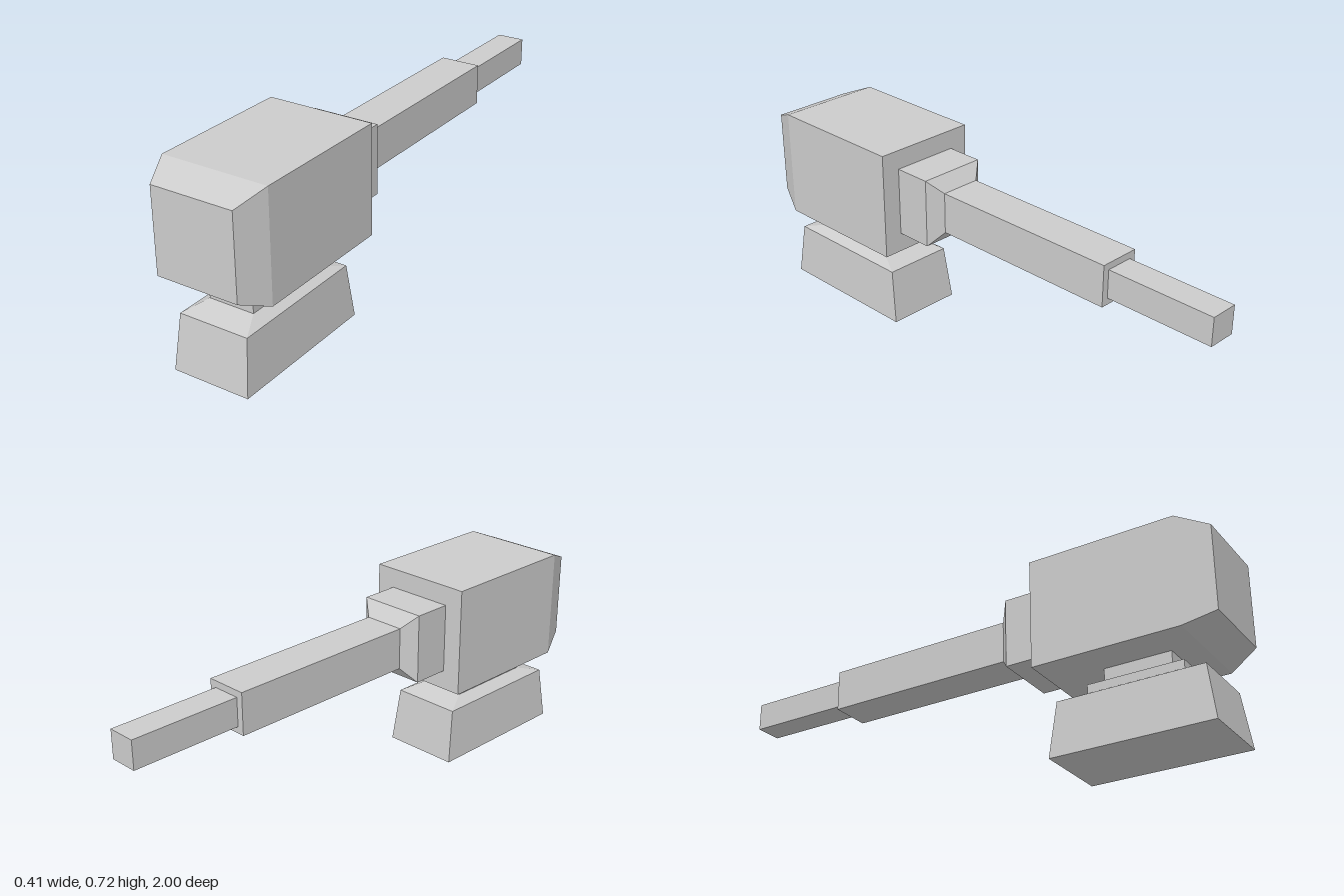
import * as THREE from 'three';

const material = new THREE.MeshStandardMaterial({ color: 0xcccccc, flatShading: true });

// Closed solid through rectangular sections [height, halfX, halfZ], stacked upwards along y
function rectLoft(sections) {
  const positions = [];
  const index = [];
  for (const [y, w, d] of sections) {
    positions.push(w, y, d, w, y, -d, -w, y, -d, -w, y, d);
  }
  for (let i = 0; i < sections.length - 1; i++) {
    for (let k = 0; k < 4; k++) {
      const a = i * 4 + k;
      const b = i * 4 + ((k + 1) % 4);
      index.push(a, b, b + 4, a, b + 4, a + 4);
    }
  }
  const t = (sections.length - 1) * 4;
  index.push(0, 2, 1, 0, 3, 2, t, t + 1, t + 2, t, t + 2, t + 3);
  const indexed = new THREE.BufferGeometry();
  indexed.setAttribute('position', new THREE.Float32BufferAttribute(positions, 3));
  indexed.setIndex(index);
  const geometry = indexed.toNonIndexed();
  geometry.computeVertexNormals();
  return geometry;
}

function addPart(parent, name, sections) {
  const mesh = new THREE.Mesh(rectLoft(sections), material);
  mesh.name = name;
  parent.add(mesh);
}

export function createModel() {
  const model = new THREE.Group();
  model.name = 'turret';

  // Pedestal, stacked upwards
  const pedestal = new THREE.Group();
  pedestal.name = 'pedestal';
  pedestal.position.z = 0.668;
  addPart(pedestal, 'base', [
    [0, 0.148, 0.296], [0.203, 0.134, 0.268], [0.228, 0.088, 0.176], [0.26, 0.088, 0.176],
  ]);
  addPart(pedestal, 'neck', [[0.26, 0.062, 0.124], [0.317, 0.062, 0.124]]);
  model.add(pedestal);

  // Gun, stacked along z from the barrel tip to the housing
  const gun = new THREE.Group();
  gun.name = 'gun';
  gun.position.y = 0.519;
  gun.rotation.x = Math.PI / 2;
  addPart(gun, 'barrelTip', [[-1, 0.053, 0.053], [-0.583, 0.053, 0.053]]);
  addPart(gun, 'barrel', [[-0.583, 0.078, 0.078], [0.16, 0.078, 0.078]]);
  addPart(gun, 'collar', [[0.16, 0.078, 0.078], [0.202, 0.13, 0.13], [0.345, 0.13, 0.13]]);
  addPart(gun, 'housing', [[0.345, 0.203, 0.203], [0.89, 0.203, 0.203], [1, 0.157, 0.157]]);
  model.add(gun);

  return model;
}
